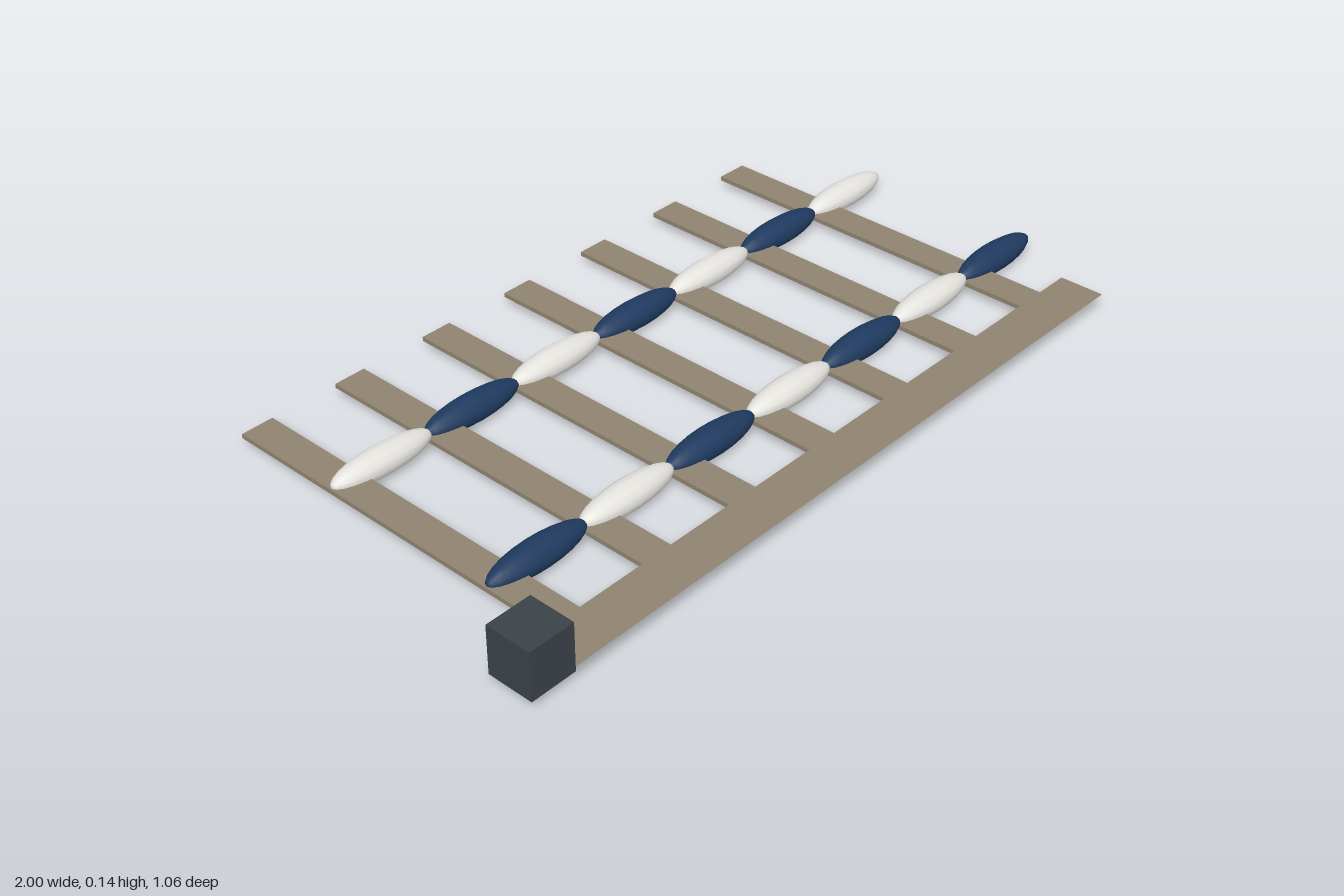
import * as THREE from 'three';

const paint = (name, color) => {
  const m = new THREE.MeshStandardMaterial({ color });
  m.name = name;
  return m;
};

export function createModel() {
  const timber = paint('weathered timber', 0x8f8370);
  const navy = paint('navy hull', 0x1f3a5f);
  const white = paint('white hull', 0xe6e4df);
  const slate = paint('slate', 0x3a4249);
  const rust = paint('orange post', 0xc1552f);

  const marina = new THREE.Group();
  marina.name = 'marina';
  const add = (name, geometry, material, x, y, z) => {
    const mesh = new THREE.Mesh(geometry, material);
    mesh.name = name;
    mesh.position.set(x, y, z);
    marina.add(mesh);
    return mesh;
  };

  const COUNT = 7, PITCH = 0.26;
  const DECK_Y = 0.026, DECK_H = 0.011;

  // Main walkway, left open along its front edge (the +z face of the box is dropped)
  const walkway = new THREE.BoxGeometry(1.778, DECK_H, 0.115);
  const faces = Array.from(walkway.index.array);
  faces.splice(24, 6);
  walkway.setIndex(faces);
  walkway.clearGroups();
  add('walkway', walkway, timber, 0.004, DECK_Y, 0.4695);

  // Finger piers
  const finger = new THREE.BoxGeometry(0.083, DECK_H, 0.942);
  for (let i = 0; i < COUNT; i++) {
    add('fingerPier', finger, timber, -0.8 + i * PITCH, DECK_Y, -0.059);
  }

  // Two rows of boats: slim ellipsoids with their poles at bow and stern
  const hull = new THREE.SphereGeometry(1, 12, 12);
  hull.rotateZ(Math.PI / 2);
  hull.scale(0.138, 0.033, 0.04);
  [0.235, -0.235].forEach((z, row) => {
    for (let i = 0; i < COUNT; i++) {
      add('boat', hull, (i + row) % 2 ? white : navy, -0.7 + i * PITCH, 0.033, z);
    }
  });

  // Harbour hut at the end of the walkway, with a small post behind it
  add('hut', new THREE.BoxGeometry(0.115, 0.12, 0.115), slate, -0.9425, 0.08, 0.4695);
  add('post', new THREE.CylinderGeometry(0.009, 0.009, 0.058, 10), rust, -0.9425, 0.06, 0.387);

  return marina;
}
